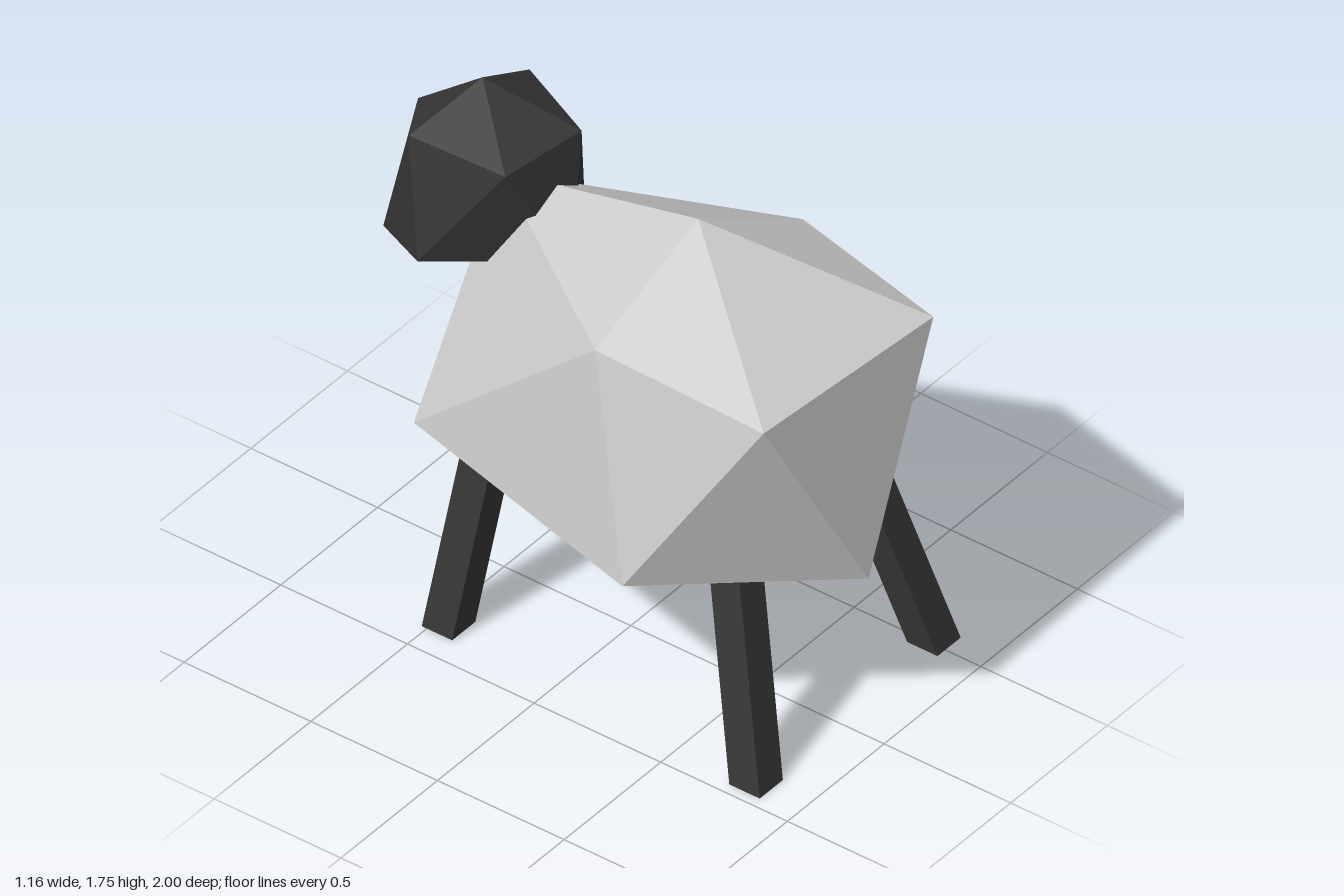
import * as THREE from 'three';

const wool = new THREE.MeshStandardMaterial({ color: 0xcccccc, flatShading: true });
const dark = new THREE.MeshStandardMaterial({ color: 0x363636, flatShading: true });

// Irregular 20-sided blob: top point, two staggered rings of five, bottom point.
// Rings run front -> +x -> back -> -x, each lower point sitting between two upper ones.
function blob(name, top, upper, lower, bottom, material) {
  const positions = [];
  const n = upper.length;
  for (let i = 0; i < n; i++) {
    const j = (i + 1) % n;
    const faces = [
      [top, upper[i], upper[j]],
      [upper[i], lower[i], upper[j]],
      [lower[i], lower[j], upper[j]],
      [bottom, lower[j], lower[i]],
    ];
    positions.push(...faces.flat(2));
  }
  const geometry = new THREE.BufferGeometry();
  geometry.setAttribute('position', new THREE.Float32BufferAttribute(positions, 3));
  geometry.computeVertexNormals();
  const mesh = new THREE.Mesh(geometry, material);
  mesh.name = name;
  return mesh;
}

// Square post sheared so that its foot stays flat on the ground
function leg(name, [footX, footZ], [hipX, hipZ]) {
  const height = 0.75, width = 0.12;
  const geometry = new THREE.BoxGeometry(width, height, width);
  geometry.translate(0, height / 2, 0);
  const p = geometry.attributes.position;
  for (let i = 0; i < p.count; i++) {
    const t = p.getY(i) / 0.69;
    p.setX(i, p.getX(i) + footX + (hipX - footX) * t);
    p.setZ(i, p.getZ(i) + footZ + (hipZ - footZ) * t);
  }
  geometry.computeVertexNormals();
  const mesh = new THREE.Mesh(geometry, dark);
  mesh.name = name;
  return mesh;
}

export function createModel() {
  const model = new THREE.Group();
  model.name = 'sheep';

  // Woolly body, both rings level
  const level = (y, points) => points.map(([x, z]) => [x, y, z]);
  model.add(blob('body',
    [0.06, 1.68, 0.22],
    level(1.435, [[-0.44, 0.86], [0.36, 0.92], [0.51, 0.29], [0.13, -0.61], [-0.42, 0.18]]),
    level(0.705, [[-0.08, 1.0], [0.55, 0.64], [0.5, -0.545], [-0.31, -0.62], [-0.58, 0.41]]),
    [-0.03, 0.61, 0.3],
    wool));

  // Head, dropping towards the muzzle
  model.add(blob('head',
    [0.15, 1.755, -0.7],
    [[-0.085, 1.63, -0.43], [0.25, 1.63, -0.385], [0.4, 1.63, -0.705], [0.21, 1.495, -1.0], [-0.1, 1.63, -0.8]],
    [[0.1, 1.235, -0.31], [0.365, 1.235, -0.46], [0.32, 1.09, -0.92], [0.03, 1.1, -1.0], [-0.18, 1.225, -0.705]],
    [0.1, 1.165, -0.67],
    dark));

  // Splayed legs: foot centre, then hip centre
  model.add(
    leg('frontLeftLeg', [0.52, 0.8], [0.395, 0.6]),
    leg('frontRightLeg', [-0.4, 0.8], [-0.245, 0.6]),
    leg('backLeftLeg', [0.495, -0.46], [0.365, -0.395]),
    leg('backRightLeg', [-0.34, -0.46], [-0.21, -0.395]),
  );
  return model;
}
